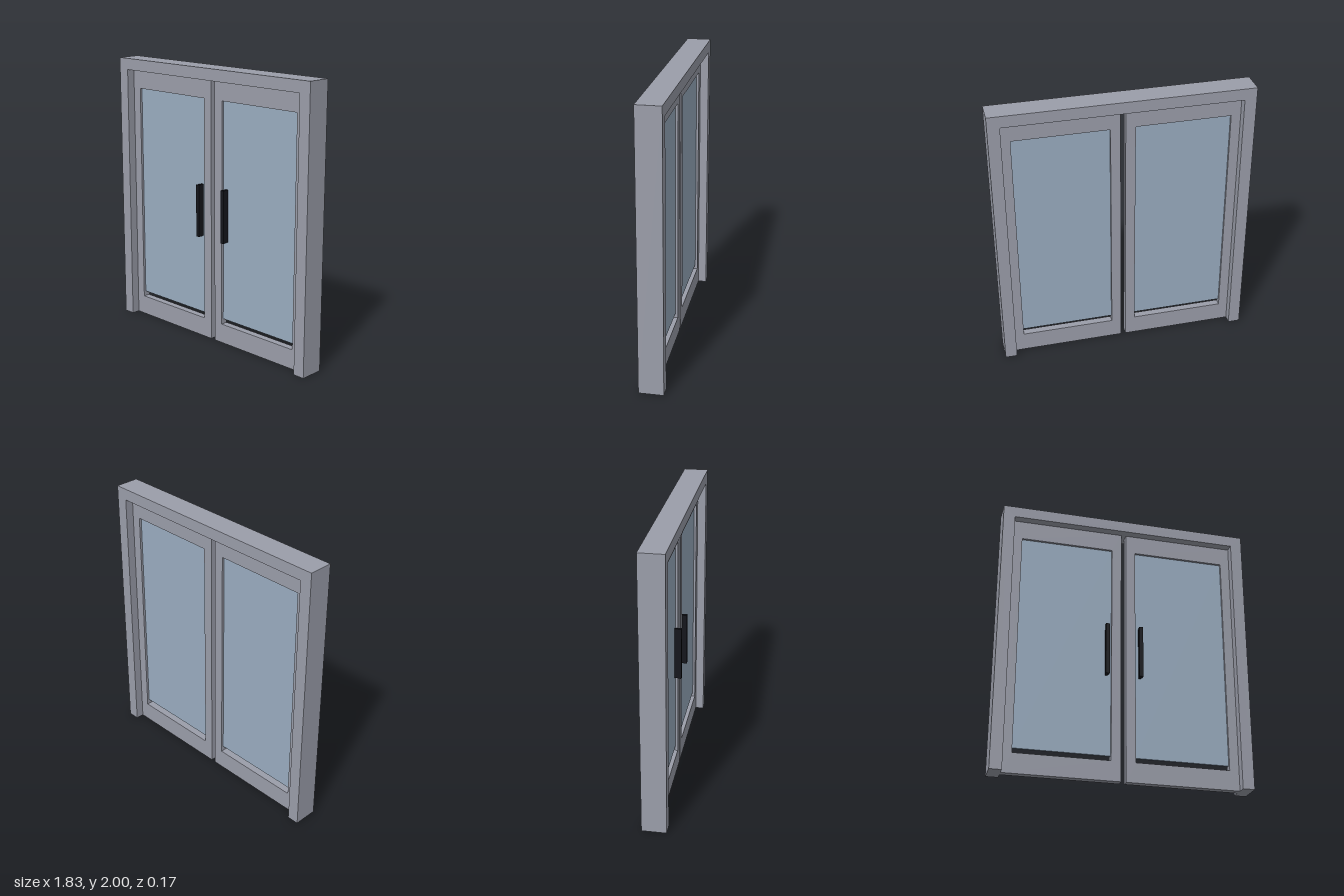
import * as THREE from 'three';

const material = (name, color) => {
  const m = new THREE.MeshStandardMaterial({ color });
  m.name = name;
  return m;
};

// Box given by its extents on each axis
function block(name, mat, [x0, x1], [y0, y1], [z0, z1]) {
  const mesh = new THREE.Mesh(new THREE.BoxGeometry(x1 - x0, y1 - y0, z1 - z0), mat);
  mesh.position.set((x0 + x1) / 2, (y0 + y1) / 2, (z0 + z1) / 2);
  mesh.name = name;
  return mesh;
}

// Extruded outline with an optional hole, centred on z = 0
function panel(name, mat, outline, depth, hole) {
  const toPoints = (pts) => pts.map(([x, y]) => new THREE.Vector2(x, y));
  const shape = new THREE.Shape(toPoints(outline));
  if (hole) shape.holes.push(new THREE.Path(toPoints(hole)));
  const geometry = new THREE.ExtrudeGeometry(shape, { depth, bevelEnabled: false });
  geometry.translate(0, 0, -depth / 2);
  const mesh = new THREE.Mesh(geometry, mat);
  mesh.name = name;
  return mesh;
}

const rect = (x0, x1, y0, y1) => [[x0, y0], [x1, y0], [x1, y1], [x0, y1]];
const span = (side, a, b) => (side > 0 ? [a, b] : [-b, -a]);

export function createModel() {
  const aluminium = material('grey aluminium', 0x9b9eaa);
  const glass = material('blue glass', 0x9aadc1);
  const black = material('black handle', 0x15161c);

  const model = new THREE.Group();
  model.name = 'doubleDoor';

  // Outer frame: two jambs and a header, open at the floor
  const W = 0.913, w = 0.828, top = 1.917;
  model.add(panel('outerFrame', aluminium, [
    [-W, 0], [-w, 0], [-w, top], [w, top], [w, 0], [W, 0], [W, 2], [-W, 2],
  ], 0.174));

  for (const side of [1, -1]) {
    const door = new THREE.Group();
    door.name = side > 0 ? 'leftDoor' : 'rightDoor';

    // Leaf with a window opening
    door.add(panel('doorLeaf', aluminium,
      rect(...span(side, 0.0175, w), 0, top), 0.052,
      rect(...span(side, 0.0875, 0.76), 0.143, 1.778)));

    // Pane stops short of the bottom rail
    door.add(block('glassPane', glass, span(side, 0.0875, 0.76), [0.18, 1.778], [-0.009, 0.009]));

    // Pull handle: grip bar on a narrower backing strip
    door.add(block('handleBacking', black, span(side, 0.113, 0.131), [0.77, 1.155], [0.009, 0.036]));
    door.add(block('handleGrip', black, span(side, 0.108, 0.136), [0.77, 1.155], [0.036, 0.06]));

    model.add(door);
  }
  return model;
}
